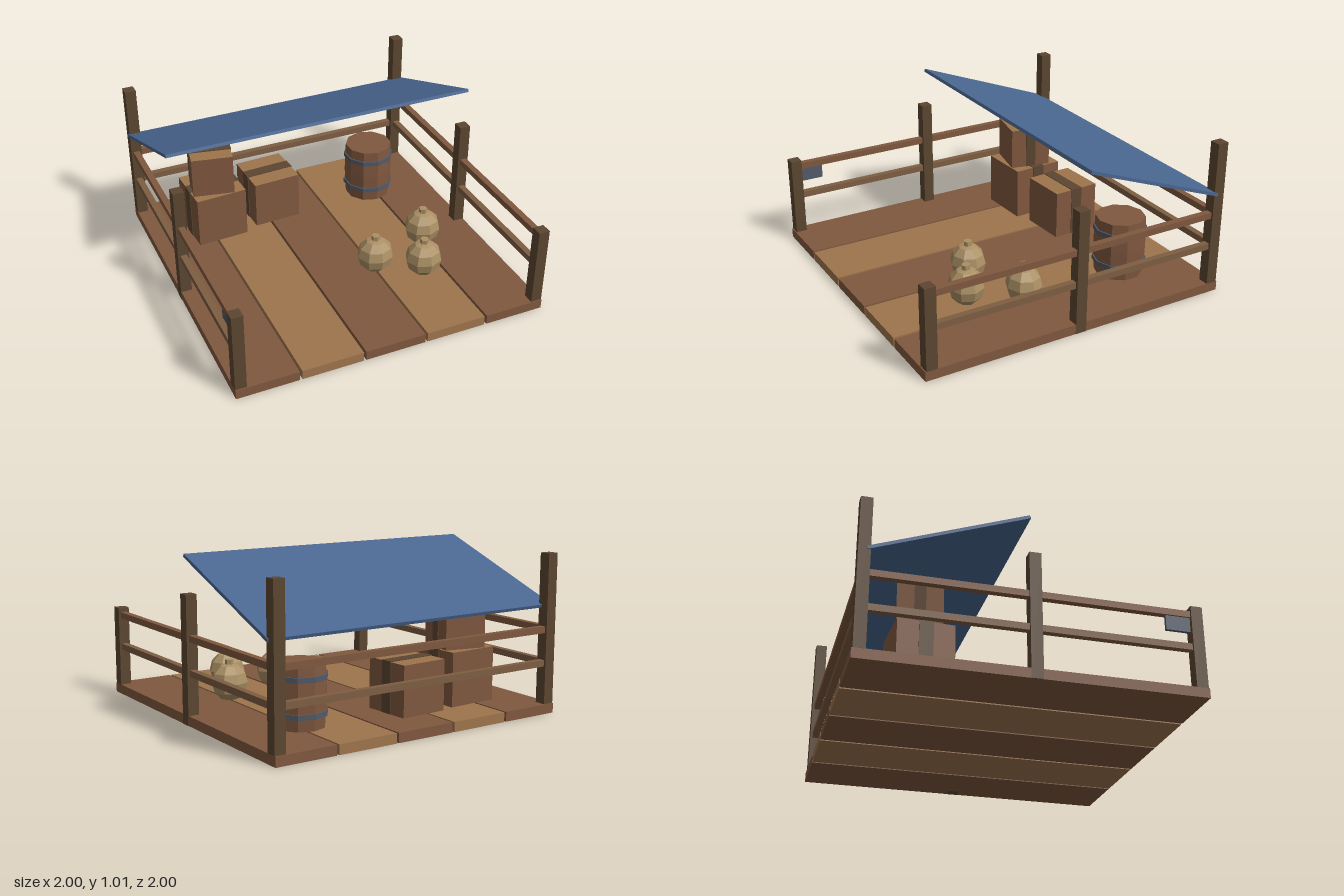
import * as THREE from 'three';

const mat = (name, color) => {
  const m = new THREE.MeshStandardMaterial({ color, flatShading: true });
  m.name = name;
  return m;
};

export function createModel() {
  const redWood = mat('redWood', 0x80583f);
  const lightWood = mat('lightWood', 0x9e754d);
  const darkWood = mat('darkWood', 0x5c4630);
  const railWood = mat('railWood', 0x7e5e43);
  const blueCloth = mat('blueCloth', 0x4a6791);
  const iron = mat('iron', 0x525a68);
  const clay = mat('clay', 0xab9065);

  const group = new THREE.Group();
  group.name = 'marketStall';

  const add = (name, geometry, material, x, y, z, parent = group) => {
    const mesh = new THREE.Mesh(geometry, material);
    mesh.name = name;
    mesh.position.set(x, y, z);
    parent.add(mesh);
    return mesh;
  };
  const box = (name, w, h, d, material, x, y, z, parent) =>
    add(name, new THREE.BoxGeometry(w, h, d), material, x, y, z, parent);

  // Floor planks in alternating woods
  for (let i = 0; i < 5; i++) {
    box('plank', 0.385, 0.06, 2, i % 2 ? lightWood : redWood, -0.8 + i * 0.4, 0.03, 0);
  }

  // Posts and side rails, mirrored
  for (const s of [-1, 1]) {
    box('frontPost', 0.07, 0.505, 0.07, darkWood, s * 0.958, 0.3125, 0.958);
    box('middlePost', 0.07, 0.775, 0.07, darkWood, s * 0.96, 0.3875, 0);
    box('backPost', 0.07, 0.92, 0.07, darkWood, s * 0.958, 0.52, -0.958);
    box('lowerSideRail', 0.04, 0.04, 1.9, railWood, s * 0.96, 0.312, 0);
    box('upperSideRail', 0.04, 0.04, 1.9, redWood, s * 0.96, 0.518, 0);
  }
  box('lowerBackRail', 1.9, 0.04, 0.04, railWood, 0, 0.312, -0.96);
  box('upperBackRail', 1.9, 0.04, 0.04, redWood, 0, 0.518, -0.96);

  // Sloping awning
  box('awning', 2, 0.02, 0.98, blueCloth, 0, 0.83, -0.485).rotation.x = -0.36;

  // Small plate hanging from the right rail
  box('hangingPlate', 0.02, 0.1, 0.15, iron, -0.96, 0.458, 0.85);

  // Strapped crates with pale lids
  const crate = (size, x, base, z, turn) => {
    const c = new THREE.Group();
    c.name = 'crate';
    c.position.set(x, base + size / 2, z);
    c.rotation.y = turn;
    group.add(c);
    const faces = [redWood, redWood, lightWood, redWood, redWood, redWood];
    box('crateBody', size, size, size, faces, 0, 0, 0, c);
    box('crateStrap', size + 0.008, size + 0.008, size * 0.25, darkWood, 0, 0, 0, c);
  };
  crate(0.335, -0.568, 0.06, -0.565, 0.05);
  crate(0.266, -0.572, 0.395, -0.563, -0.2);
  crate(0.313, -0.16, 0.06, -0.615, 0.05);

  // Barrel with two iron hoops
  const barrelProfile = [[0, 0.06], [0.15, 0.06], [0.158, 0.16], [0.16, 0.25], [0.158, 0.34], [0.154, 0.435], [0, 0.435]]
    .map(([r, y]) => new THREE.Vector2(r, y));
  add('barrel', new THREE.LatheGeometry(barrelProfile, 10), redWood, 0.565, 0, -0.565);
  for (const y of [0.145, 0.355]) {
    add('barrelHoop', new THREE.CylinderGeometry(0.166, 0.166, 0.03, 10), iron, 0.565, y, -0.565);
  }

  // Round clay jars with short necks
  for (const [x, z] of [[0.2, 0.305], [0.613, 0.155], [0.46, 0.46]]) {
    add('jar', new THREE.SphereGeometry(0.118, 8, 6), clay, x, 0.18, z).scale.z = 0.94;
    add('jarNeck', new THREE.CylinderGeometry(0.027, 0.027, 0.04, 6), clay, x, 0.3, z);
  }

  return group;
}
